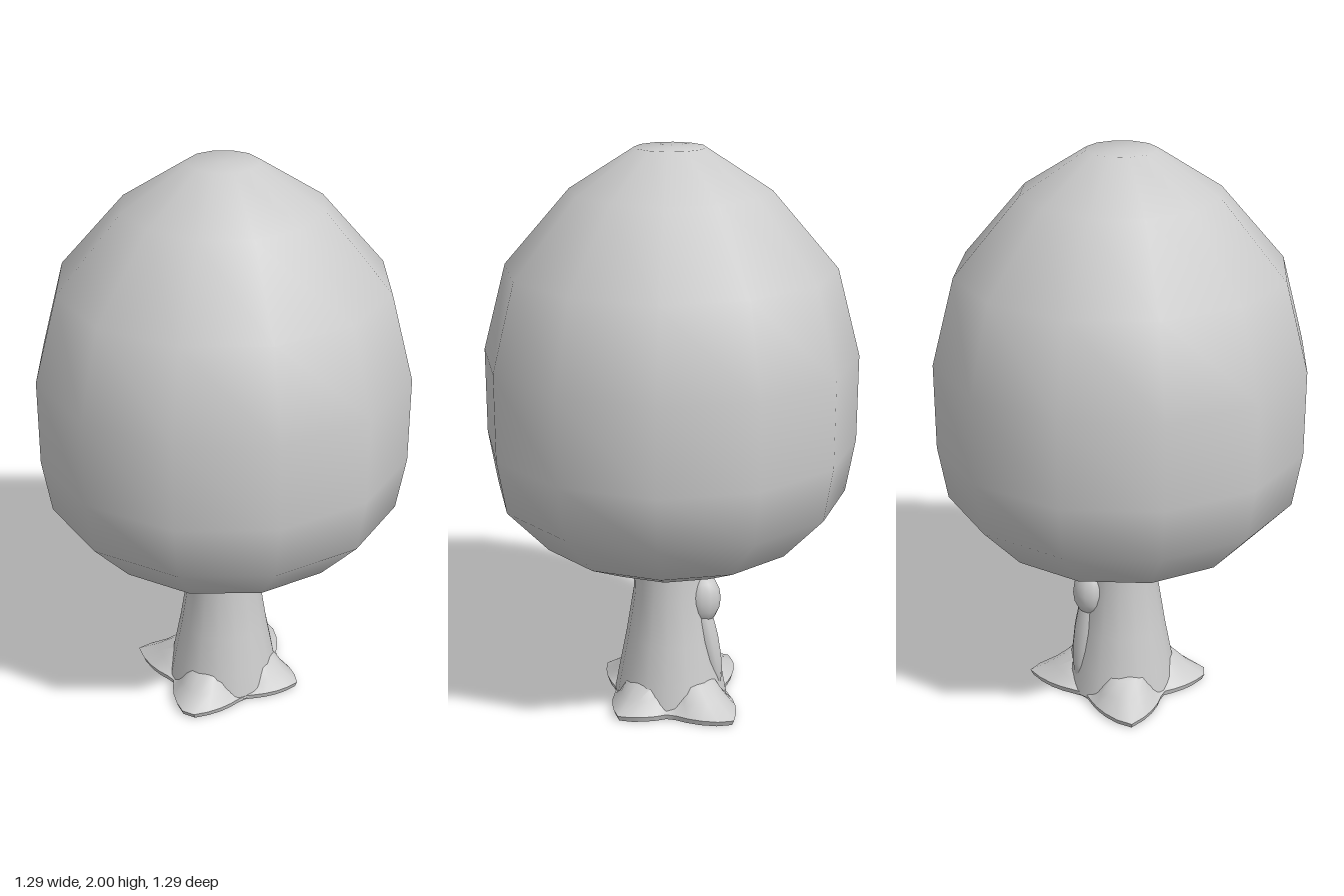
import * as THREE from 'three';
import { toCreasedNormals } from 'three/addons/utils/BufferGeometryUtils.js';

const material = new THREE.MeshStandardMaterial({ color: 0xcccccc });

function add(group, name, geometry) {
  const mesh = new THREE.Mesh(geometry, material);
  mesh.name = name;
  group.add(mesh);
  return mesh;
}

function lathe(profile, sides) {
  return new THREE.LatheGeometry(profile.map(([r, y]) => new THREE.Vector2(r, y)), sides);
}

// Root tips on the ground (x, z)
const tips = [[0.24, 0.17], [-0.21, 0.25], [-0.28, -0.21], [0.25, -0.24]];

// Nearest root tip: its reach and how close the angle is to it (0 to 1)
function lobe(angle) {
  let best = { w: 0, reach: 0.2 };
  for (const [x, z] of tips) {
    const d = angle - Math.atan2(x, z);
    const off = Math.abs(Math.atan2(Math.sin(d), Math.cos(d)));
    const w = Math.max(0, 1 - off / 0.78);
    if (w > best.w) best = { w, reach: Math.hypot(x, z) };
  }
  return best;
}

// Flared skirt with four pointed roots, rising against the trunk
function rootGeometry() {
  const sides = 40, valley = 0.2, inner = 0.165;
  const rows = [
    () => [0, 0],
    (R) => [R * 0.97, 0],
    (R) => [R, 0.02],
    (R, h) => [inner + (R - inner) * 0.55, 0.02 + h * 0.42],
    (R, h) => [inner + (R - inner) * 0.2, 0.02 + h * 0.85],
    (R, h) => [inner, 0.02 + h],
    (R, h) => [0.06, 0.02 + h],
  ];
  const positions = [], index = [];
  rows.forEach((row, j) => {
    for (let i = 0; i < sides; i++) {
      const a = (i / sides) * Math.PI * 2;
      const { w, reach } = lobe(a);
      const R = valley + (reach - valley) * Math.pow(w, 1.25);
      const [r, y] = row(R, 0.1 * Math.min(1, w * 1.7));
      positions.push(Math.sin(a) * r, y, Math.cos(a) * r);
      if (j === rows.length - 1) continue;
      const n = (i + 1) % sides, b = j * sides, t = b + sides;
      index.push(b + i, b + n, t + n, b + i, t + n, t + i);
    }
  });
  const g = new THREE.BufferGeometry();
  g.setAttribute('position', new THREE.Float32BufferAttribute(positions, 3));
  g.setIndex(index);
  return toCreasedNormals(g, 0.7);
}

export function createModel() {
  const tree = new THREE.Group();
  tree.name = 'tree';

  // Egg-shaped crown
  add(tree, 'crown', lathe([
    [0, 0.545], [0.12, 0.545], [0.3, 0.57], [0.465, 0.65], [0.613, 0.81], [0.645, 1],
    [0.645, 1.3], [0.565, 1.6], [0.34, 1.86], [0.12, 2], [0, 2],
  ], 12));

  // Tapered trunk
  add(tree, 'trunk', lathe([[0.205, 0.01], [0.187, 0.11], [0.16, 0.25], [0.133, 0.42], [0.127, 0.57]], 16));

  add(tree, 'roots', rootGeometry());

  // Knot on the back of the trunk, with a ridge running down from it
  const knot = add(tree, 'knot', new THREE.SphereGeometry(1, 12, 8));
  knot.scale.set(0.065, 0.095, 0.065);
  knot.position.set(0.035, 0.4, -0.118);
  const ridge = add(tree, 'knotRidge', new THREE.SphereGeometry(1, 12, 8));
  ridge.scale.set(0.05, 0.2, 0.04);
  ridge.position.set(0.04, 0.25, -0.135);
  ridge.rotation.x = 0.2;

  return tree;
}
